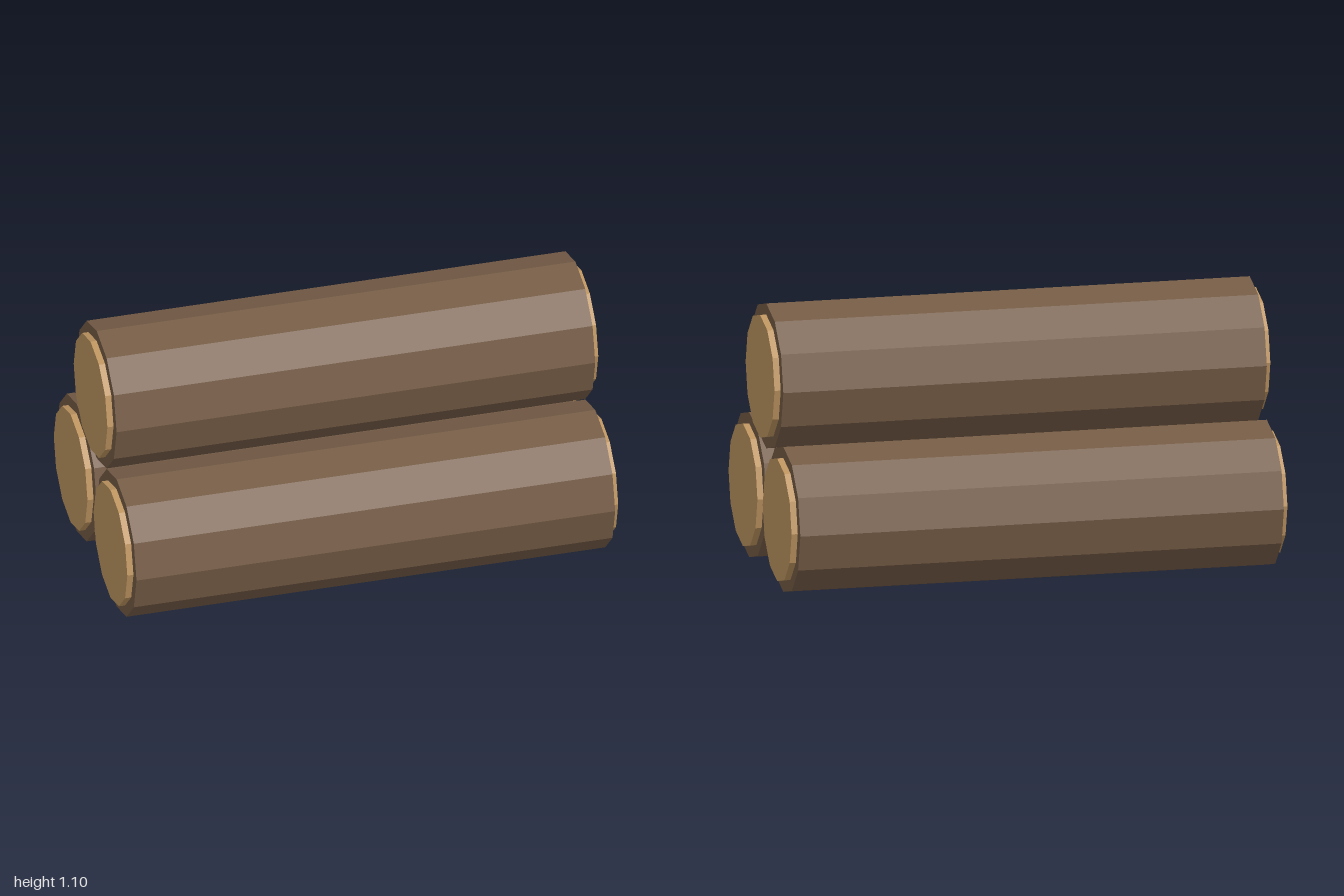
import * as THREE from 'three';

const RADIUS = 0.293;

export function createModel() {
  const bark = new THREE.MeshStandardMaterial({ color: 0x745b45, flatShading: true });
  bark.name = 'bark';
  const cutWood = new THREE.MeshStandardMaterial({ color: 0xbc935f, flatShading: true });
  cutWood.name = 'cutWood';

  // Twelve-sided cylinders lying along x
  const barkGeometry = new THREE.CylinderGeometry(RADIUS, RADIUS, 1.95, 12).rotateZ(Math.PI / 2);
  const endGeometry = new THREE.CylinderGeometry(0.248, 0.248, 0.025, 12).rotateZ(Math.PI / 2);

  const part = (name, geometry, material, x = 0) => {
    const mesh = new THREE.Mesh(geometry, material);
    mesh.name = name;
    mesh.position.x = x;
    return mesh;
  };

  // One log: bark body with a raised cut face at each end
  const makeLog = (name, y, z) => {
    const log = new THREE.Group();
    log.name = name;
    log.position.set(0, y, z);
    log.add(
      part('barkBody', barkGeometry, bark),
      part('leftCutEnd', endGeometry, cutWood, 0.9875),
      part('rightCutEnd', endGeometry, cutWood, -0.9875),
    );
    return log;
  };

  // Two logs below, one resting in the gap on top
  const model = new THREE.Group();
  model.name = 'logPile';
  model.add(
    makeLog('frontLog', RADIUS, RADIUS),
    makeLog('backLog', RADIUS, -RADIUS),
    makeLog('topLog', 0.803, 0),
  );
  return model;
}
